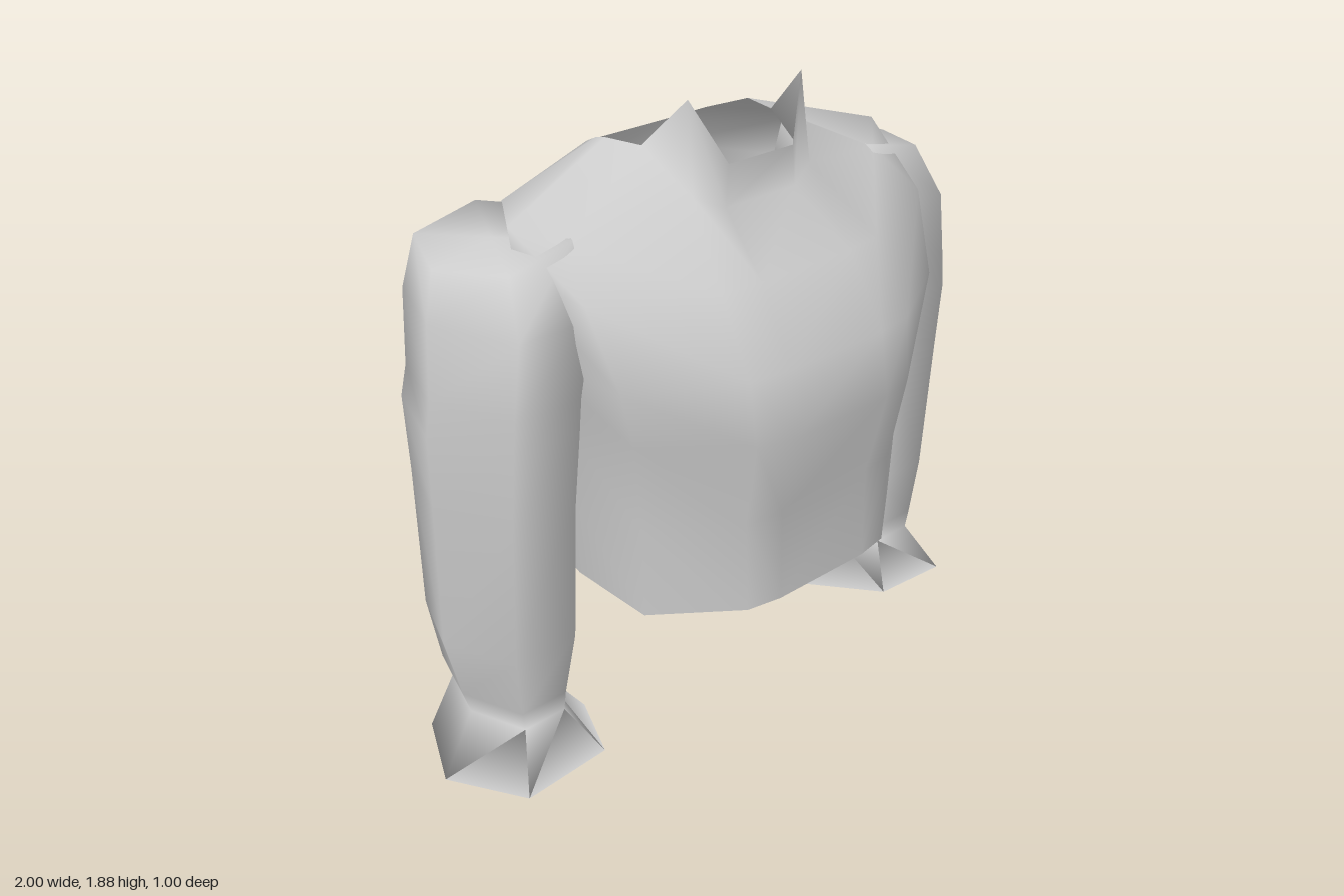
import * as THREE from 'three';

// Skin a stack of closed rings, bottom to top, with smooth normals and optional fan caps.
// Each ring turns from +x toward +z; its two halves get mirrored diagonals.
function skin(rings, capped) {
  const n = rings[0].length, pos = rings.flat(2), idx = [];
  for (let r = 0; r < rings.length - 1; r++) {
    for (let i = 0; i < n; i++) {
      const a = r * n + i, b = r * n + (i + 1) % n;
      if (i < n / 2) idx.push(a, a + n, b + n, a, b + n, b);
      else idx.push(a, a + n, b, b, a + n, b + n);
    }
  }
  if (capped) {
    [0, rings.length - 1].forEach((r, end) => {
      const ci = pos.length / 3;
      pos.push(...[0, 1, 2].map(k => rings[r].reduce((s, p) => s + p[k], 0) / n));
      for (let i = 0; i < n; i++) {
        const a = r * n + i, b = r * n + (i + 1) % n;
        if (end) idx.push(ci, b, a); else idx.push(ci, a, b);
      }
    });
  }
  const g = new THREE.BufferGeometry();
  g.setAttribute('position', new THREE.Float32BufferAttribute(pos, 3));
  g.setIndex(idx);
  g.computeVertexNormals();
  return g;
}

// Left half of a torso ring (front to back), mirrored into a full loop
function fullRing(half) {
  const right = half.map(([x, y, z]) => [-x, y, z]);
  return [...right, ...half.slice().reverse()];
}

// Six-sided sleeve ring; tilt raises the side nearest the body
function sleeveRing([y, xin, xout, zf, zb, tilt = 0]) {
  const w = xout - xin, zm = (zf + zb) / 2;
  return [[1, zm], [0.77, zf], [0.23, zf], [0, zm], [0.23, zb], [0.77, zb]]
    .map(([t, z]) => [xin + w * t, y + tilt * (1 - t), z]);
}

export function createModel() {
  const group = new THREE.Group();
  const cloth = new THREE.MeshStandardMaterial({ color: 0xcccccc, side: THREE.DoubleSide });
  cloth.name = 'grey cloth';

  // Jacket body, open at the hem and neck
  const body = [
    [[0.17, 0.49, 0.44], [0.28, 0.49, 0.42], [0.51, 0.49, 0.24], [0.52, 0.51, -0.03], [0.46, 0.52, -0.3], [0.17, 0.52, -0.47]],
    [[0.17, 0.77, 0.44], [0.29, 0.77, 0.42], [0.52, 0.77, 0.25], [0.54, 0.77, -0.04], [0.48, 0.77, -0.32], [0.17, 0.77, -0.48]],
    [[0.18, 1.03, 0.5], [0.3, 1.03, 0.47], [0.56, 1.05, 0.27], [0.58, 1.05, -0.04], [0.52, 1.05, -0.34], [0.18, 1.05, -0.49]],
    [[0.18, 1.22, 0.47], [0.31, 1.22, 0.45], [0.605, 1.22, 0.28], [0.62, 1.22, -0.05], [0.55, 1.24, -0.36], [0.18, 1.24, -0.5]],
    [[0.17, 1.43, 0.35], [0.3, 1.43, 0.33], [0.64, 1.45, 0.19], [0.67, 1.47, -0.05], [0.56, 1.45, -0.35], [0.18, 1.45, -0.44]],
    [[0.13, 1.58, 0.17], [0.22, 1.62, 0.14], [0.59, 1.56, 0.05], [0.69, 1.61, -0.05], [0.53, 1.58, -0.29], [0.17, 1.56, -0.405]],
    // neckline with two pointed collar tips
    [[0.12, 1.7, 0.17], [0.21, 1.88, 0.11], [0.245, 1.73, -0.04], [0.27, 1.73, -0.16], [0.21, 1.69, -0.275], [0.15, 1.64, -0.39]],
  ];
  const torso = new THREE.Mesh(skin(body.map(fullRing), false), cloth);
  torso.name = 'jacketBody';
  group.add(torso);

  // Sleeve: y, inner x, outer x, front z, back z, tilt
  const rings = [
    [0, 0.49, 1, 0.165, -0.315],
    [0.16, 0.615, 0.875, 0.07, -0.285],
    [0.22, 0.605, 0.89, 0.075, -0.315],
    [0.41, 0.55, 0.935, 0.09, -0.345],
    [0.85, 0.55, 0.94, 0.12, -0.35],
    [1.07, 0.54, 0.94, 0.14, -0.37],
    [1.17, 0.53, 0.93, 0.14, -0.35],
    [1.38, 0.48, 0.91, 0.14, -0.375],
    [1.51, 0.48, 0.86, 0.06, -0.36, 0.08],
  ].map(sleeveRing);
  // the front of the cuff lifts slightly
  rings[0][1][1] = 0.01;
  rings[0][2][1] = 0.03;
  const geometry = skin(rings, true);
  // the cuff edge shades with the flat sole of the sleeve
  for (let i = 0; i < 6; i++) geometry.attributes.normal.setXYZ(i, 0, -1, 0);

  const left = new THREE.Mesh(geometry, cloth);
  left.name = 'leftSleeve';
  const right = left.clone();
  right.name = 'rightSleeve';
  right.scale.x = -1;
  group.add(left, right);
  return group;
}
